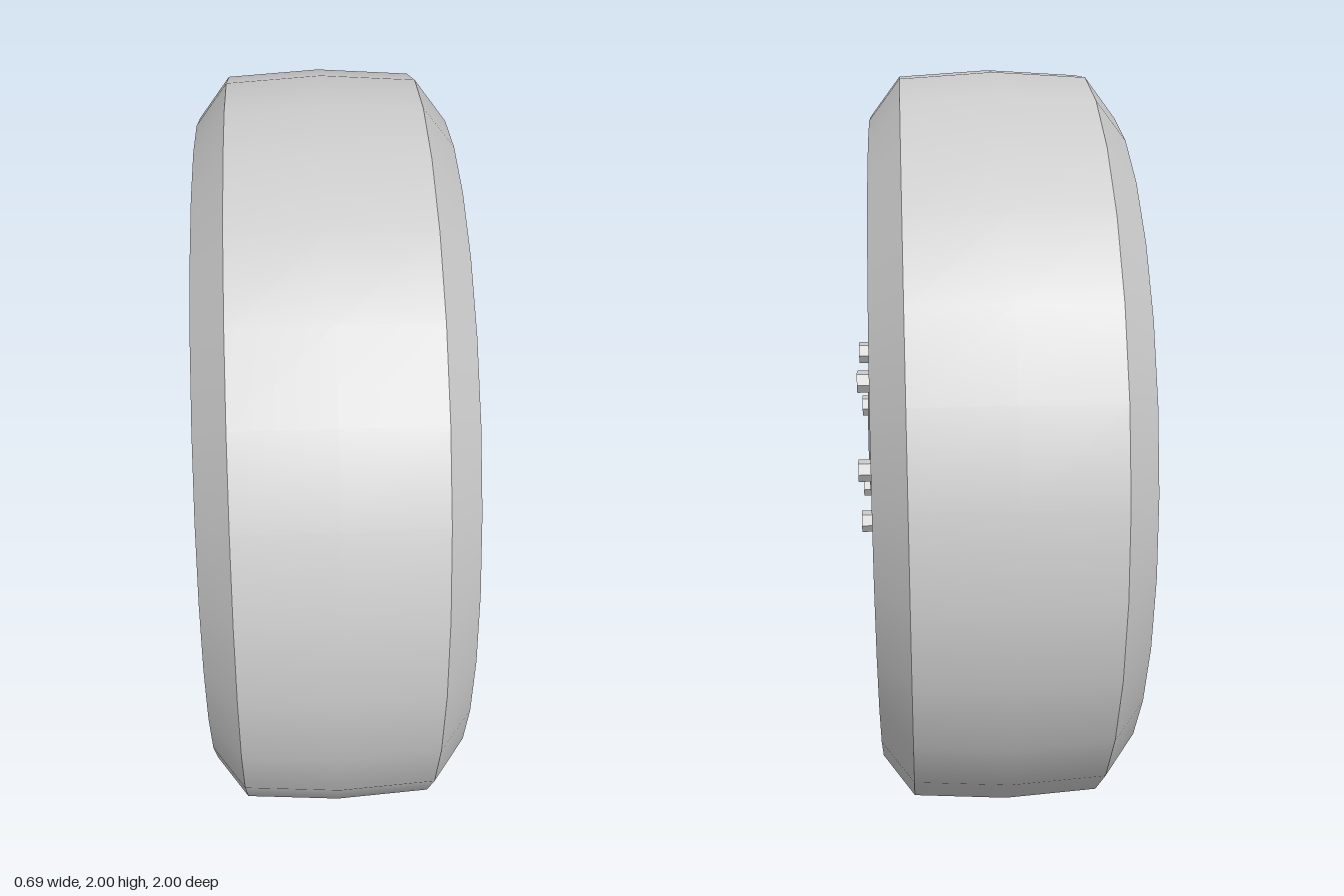
import * as THREE from 'three';

const SEGMENTS = 28;

export function createModel() {
  const wheel = new THREE.Group();
  wheel.name = 'wheel';
  const material = new THREE.MeshStandardMaterial({ color: 0xcccccc });

  // Smooth ring from [radius, x] pairs, turned about the x axle
  function ring(name, profile) {
    const points = profile.map(([r, x]) => new THREE.Vector2(r, x));
    const geometry = new THREE.LatheGeometry(points, SEGMENTS);
    geometry.rotateZ(-Math.PI / 2);
    const mesh = new THREE.Mesh(geometry, material);
    mesh.name = name;
    mesh.position.y = 1;
    wheel.add(mesh);
  }

  // Tyre: separate bands keep the shoulder edges crisp
  ring('backFace', [[0, -0.345], [0.88, -0.345]]);
  ring('backShoulder', [[0.88, -0.345], [0.985, -0.265]]);
  ring('tread', [[0.985, -0.265], [1, -0.027], [0.985, 0.212]]);
  ring('frontShoulder', [[0.985, 0.212], [0.88, 0.292]]);

  // Slightly dished outer face with a shallow raised hub
  ring('dishedFace', [[0.88, 0.292], [0.42, 0.27]]);
  ring('hub', [[0.42, 0.27], [0.31, 0.292], [0.16, 0.317], [0, 0.318]]);

  // Six hexagonal wheel nuts
  const nutGeometry = new THREE.CylinderGeometry(0.03, 0.03, 0.06, 6).toNonIndexed();
  nutGeometry.computeVertexNormals();
  nutGeometry.rotateZ(-Math.PI / 2);
  for (let i = 0; i < 6; i++) {
    const angle = (i * Math.PI) / 3;
    const nut = new THREE.Mesh(nutGeometry, material);
    nut.name = 'wheelNut' + (i + 1);
    nut.position.set(0.313, 1 + 0.24 * Math.sin(angle), 0.24 * Math.cos(angle));
    wheel.add(nut);
  }
  return wheel;
}
